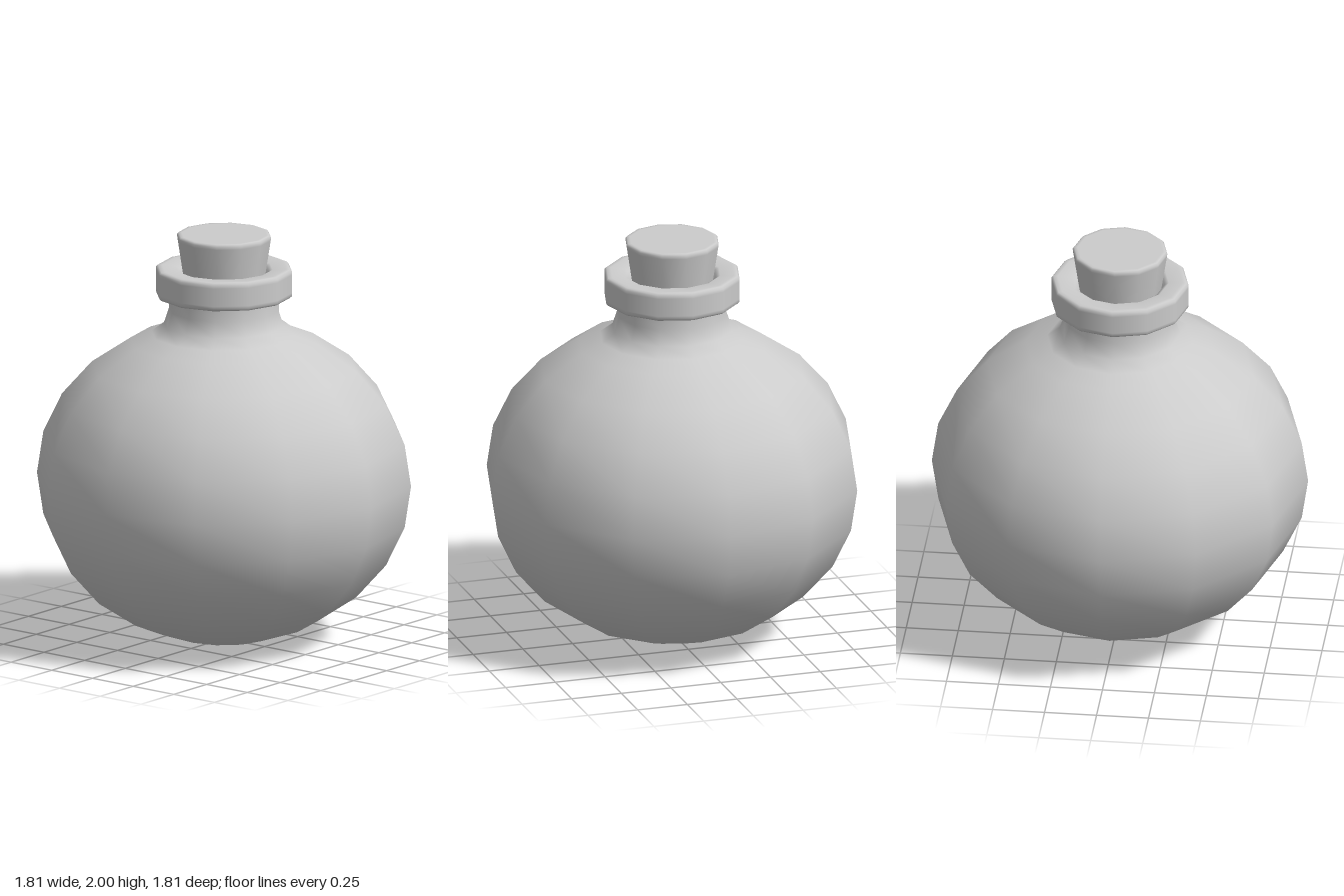
import * as THREE from 'three';

const SIDES = 12;

// Revolve a bottom-to-top [radius, height] profile around the y axis
function turned(name, profile) {
  const points = profile.map(([r, y]) => new THREE.Vector2(r, y));
  const material = new THREE.MeshStandardMaterial({ color: 0xcccccc, side: THREE.DoubleSide });
  const mesh = new THREE.Mesh(new THREE.LatheGeometry(points, SIDES), material);
  mesh.name = name;
  return mesh;
}

export function createModel() {
  const group = new THREE.Group();
  group.name = 'corkedFlask';

  // Round belly flowing into a short neck
  const belly = [[0, 0.005]];
  const rings = 12, radius = 0.905, centre = 0.79, halfHeight = 0.787;
  for (let i = 1; i < rings - 1; i++) {
    const a = (i / rings) * Math.PI;
    belly.push([radius * Math.sin(a), centre - halfHeight * Math.cos(a)]);
  }
  const neck = [[0.35, 1.51], [0.29, 1.555], [0.265, 1.63], [0.265, 1.72]];
  group.add(turned('bottle', [...belly, ...neck]));

  // Thick bevelled lip with a slightly sunken inner edge
  group.add(turned('lip', [
    [0.2, 1.70], [0.3, 1.697], [0.32, 1.697], [0.33, 1.707], [0.33, 1.722],
    [0.33, 1.81], [0.33, 1.825], [0.32, 1.836], [0.3, 1.836],
    [0.235, 1.832], [0.215, 1.82], [0.2, 1.79],
  ]));

  // Tapered stopper with a fine bevel on its top edge
  group.add(turned('cork', [
    [0, 1.72], [0.185, 1.72], [0.19, 1.74], [0.226, 1.975], [0.228, 1.99],
    [0.22, 2], [0.205, 2], [0, 2],
  ]));

  return group;
}
